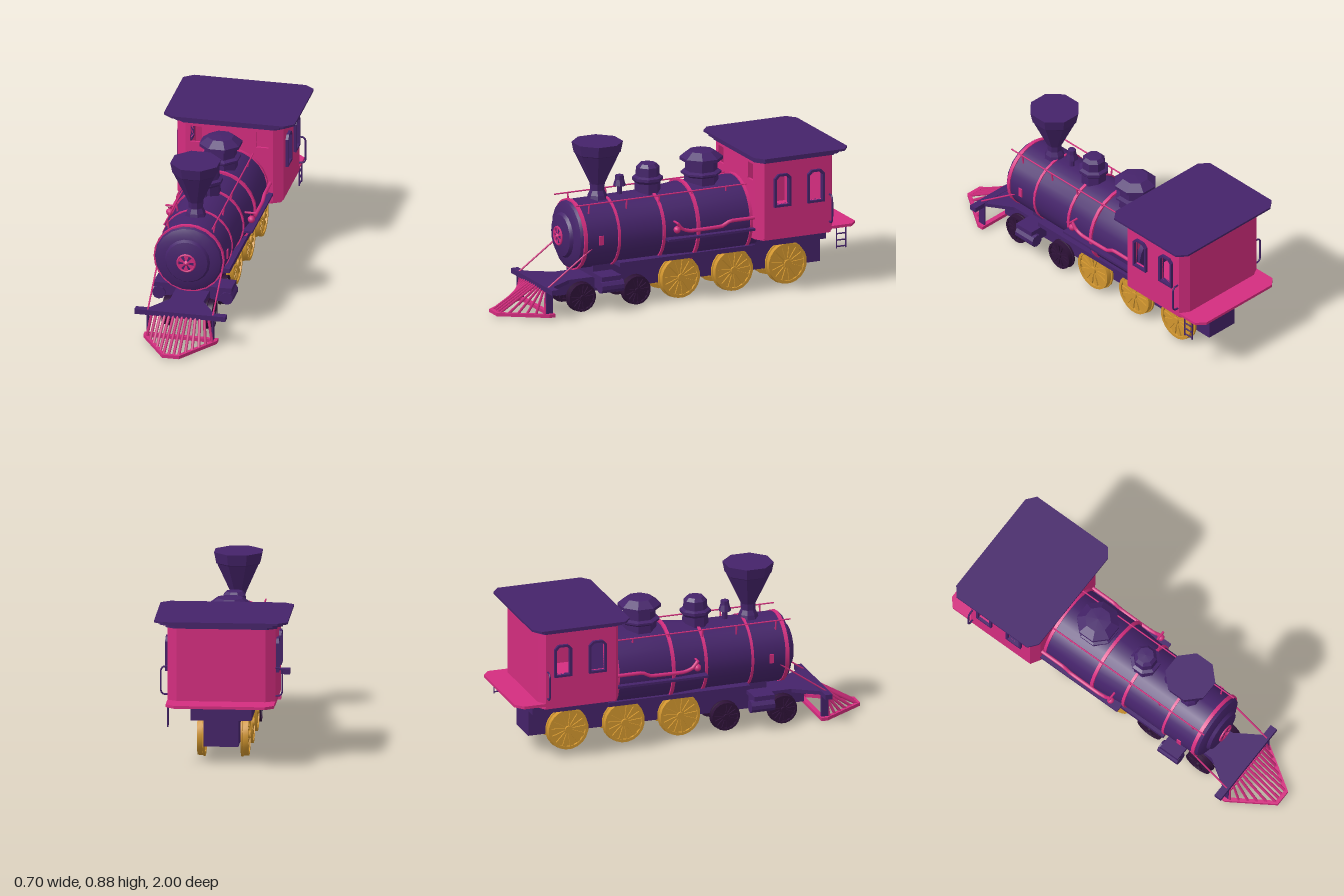
import * as THREE from 'three';
import { toCreasedNormals } from 'three/addons/utils/BufferGeometryUtils.js';

const mat = (name, color) => Object.assign(new THREE.MeshStandardMaterial({ color }), { name });
const purple = mat('purple', 0x45236a);
const pink = mat('magenta', 0xd42d7f);
const gold = mat('gold', 0xd2962f);
const dark = mat('dark plum', 0x2e1238);
const V = (x, y, z) => new THREE.Vector3(x, y, z);
const BOILER_Y = 0.4;

export function createModel() {
  const root = new THREE.Group();
  root.name = 'steamLocomotive';

  const add = (name, geo, material, x = 0, y = 0, z = 0, parent = root) => {
    const m = new THREE.Mesh(geo, material);
    m.name = name;
    m.position.set(x, y, z);
    parent.add(m);
    return m;
  };
  // box from its extents
  const box = (name, material, x0, x1, y0, y1, z0, z1) =>
    add(name, new THREE.BoxGeometry(x1 - x0, y1 - y0, z1 - z0), material,
      (x0 + x1) / 2, (y0 + y1) / 2, (z0 + z1) / 2);
  const tube = (name, material, points, r, sides = 6) => {
    const path = new THREE.CurvePath();
    for (let i = 1; i < points.length; i++) path.add(new THREE.LineCurve3(points[i - 1], points[i]));
    const curve = points.length > 2 ? new THREE.CatmullRomCurve3(points, false, 'catmullrom', 0.15) : path;
    return add(name, new THREE.TubeGeometry(curve, points.length > 2 ? 24 : 1, r, sides), material);
  };
  const lathe = (pts, sides) => new THREE.LatheGeometry(pts.map(p => new THREE.Vector2(...p)), sides, Math.PI / sides);
  const smooth = (geo, angle = 0.6) => toCreasedNormals(geo, angle);
  const faceted = geo => toCreasedNormals(geo, 0.1);
  const extrude = (shape, depth) => new THREE.ExtrudeGeometry(shape, { depth, bevelEnabled: false });
  const poly = pts => new THREE.Shape(pts.map(p => new THREE.Vector2(...p)));
  // horizontal plate from an outline of [x, z]
  const plate = (name, material, pts, y, h) =>
    add(name, extrude(poly(pts.map(([x, z]) => [x, -z])), h).rotateX(-Math.PI / 2), material, 0, y, 0);
  const chamfered = (hx, z0, z1, cx, cz) => [
    [-hx + cx, z1], [hx - cx, z1], [hx, z1 - cz], [hx, z0 + cz],
    [hx - cx, z0], [-hx + cx, z0], [-hx, z0 + cz], [-hx, z1 - cz]];

  // Boiler: wide firebox end, taper, smokebox and domed door
  add('boiler', smooth(lathe([[0, -0.46], [0.208, -0.46], [0.208, -0.1], [0.188, 0.09], [0.185, 0.55]], 24)
    .rotateX(Math.PI / 2)), purple, 0, BOILER_Y, 0);
  add('smokeboxDoor', smooth(lathe([[0.185, 0.55], [0.176, 0.57], [0.15, 0.582], [0.122, 0.588], [0.112, 0.605],
    [0.06, 0.617], [0, 0.618]], 18).rotateX(Math.PI / 2), 0.5), purple, 0, BOILER_Y, 0);
  for (const [z, r, w] of [[0.545, 0.19, 0.02], [0.35, 0.192, 0.014], [0.09, 0.196, 0.016], [-0.1, 0.219, 0.018], [-0.41, 0.214, 0.016]])
    add('boilerBand', smooth(new THREE.CylinderGeometry(r, r, w, 24).rotateX(Math.PI / 2)), pink, 0, BOILER_Y, z);

  // Door badge: ring with six wedges around a small cone
  add('badgeRing', new THREE.TorusGeometry(0.047, 0.006, 6, 18), pink, 0, BOILER_Y, 0.62);
  for (let i = 0; i < 6; i++)
    add('badgeWedge', new THREE.CircleGeometry(0.047, 4, i * Math.PI / 3 + 0.2, 0.62), pink, 0, BOILER_Y, 0.624);
  add('badgeCone', new THREE.ConeGeometry(0.015, 0.012, 8).rotateX(Math.PI / 2), pink, 0, BOILER_Y, 0.63);

  // Chimney, bell and domes
  add('chimney', faceted(lathe([[0.06, 0.56], [0.05, 0.6], [0.038, 0.625], [0.04, 0.66], [0.118, 0.825], [0.124, 0.83],
    [0.136, 0.888], [0, 0.888]], 8)), purple, 0, 0, 0.39);
  add('bell', faceted(lathe([[0.014, 0.56], [0.014, 0.625], [0.034, 0.632], [0.024, 0.665], [0.022, 0.688], [0, 0.692]], 8)),
    purple, 0, 0, 0.26);
  add('sandDome', faceted(lathe([[0.07, 0.55], [0.068, 0.63], [0.082, 0.645], [0.082, 0.66], [0.064, 0.668], [0.062, 0.715],
    [0.045, 0.733], [0, 0.736]], 8)), purple, 0, 0, 0.095);
  add('steamDome', faceted(lathe([[0.092, 0.56], [0.09, 0.63], [0.108, 0.642], [0.108, 0.652], [0.086, 0.66], [0.086, 0.708],
    [0.115, 0.716], [0.115, 0.732], [0.07, 0.765], [0, 0.77]], 8)), purple, 0, 0, -0.218);

  // Chassis
  box('mainFrame', purple, -0.09, 0.09, 0.1, 0.165, -0.87, 0.67);
  box('innerSill', purple, -0.092, 0.092, 0.16, 0.24, -0.45, 0.34);
  box('sillPlate', purple, -0.172, 0.172, 0.236, 0.26, -0.45, 0.34);
  box('firebox', purple, -0.15, 0.15, 0.25, 0.33, -0.45, -0.05);
  box('cabUnderframe', purple, -0.16, 0.16, 0.24, 0.33, -0.87, -0.43);
  box('rearFrame', purple, -0.092, 0.092, 0.1, 0.25, -0.87, -0.43);
  box('smokeboxSaddle', purple, -0.09, 0.09, 0.15, 0.25, 0.33, 0.46);
  plate('frontDeck', purple, [[-0.09, 0.44], [-0.09, 0.6], [-0.18, 0.74], [0.18, 0.74], [0.09, 0.6], [0.09, 0.44]], 0.158, 0.02);
  box('bufferBeam', purple, -0.245, 0.245, 0.153, 0.18, 0.735, 0.775);

  // Wheels with raised wedge spokes
  const wheel = (name, material, s, y, z, r) => {
    const g = new THREE.Group();
    g.name = name;
    g.position.set(s * 0.115, y, z);
    g.rotation.y = s * Math.PI / 2;
    root.add(g);
    add('rim', smooth(lathe([[r * 0.82, -0.02], [r, -0.02], [r, -0.01], [r * 0.95, -0.008], [r * 0.95, 0.02], [r * 0.82, 0.02],
      [r * 0.82, -0.02]], 20).rotateX(Math.PI / 2)), material, 0, 0, 0, g);
    add('web', new THREE.CylinderGeometry(r * 0.85, r * 0.85, 0.014, 20).rotateX(Math.PI / 2), material, 0, 0, 0, g);
    add('hub', new THREE.CylinderGeometry(r * 0.17, r * 0.2, 0.05, 10).rotateX(Math.PI / 2), material, 0, 0, 0, g);
    for (let i = 0; i < 14; i++) {
      const spoke = poly([[r * 0.1, -r * 0.03], [r * 0.84, -r * 0.1], [r * 0.84, r * 0.1], [r * 0.1, r * 0.03]]);
      const m = add('spoke', extrude(spoke, 0.03), material, 0, 0, -0.015, g);
      m.rotation.z = i * Math.PI / 7;
    }
  };
  const axle = (y, z) =>
    add('axle', new THREE.CylinderGeometry(0.015, 0.015, 0.23, 8).rotateZ(Math.PI / 2), dark, 0, y, z);
  for (const z of [-0.035, -0.345, -0.66]) {
    axle(0.124, z);
    for (const s of [-1, 1]) wheel('drivingWheel', gold, s, 0.124, z, 0.117);
  }
  for (const z of [0.54, 0.22]) {
    axle(0.085, z);
    for (const s of [-1, 1]) wheel('leadingWheel', dark, s, 0.085, z, 0.081);
  }

  // Cowcatcher: base frame and slats fanning from the beam
  const base = poly([[-0.198, -0.73], [0.198, -0.73], [0.198, -0.765], [0.045, -1], [-0.045, -1], [-0.198, -0.765]]);
  base.holes.push(new THREE.Path([[-0.17, -0.755], [-0.17, -0.77], [-0.035, -0.98], [0.035, -0.98], [0.17, -0.77], [0.17, -0.755]]
    .map(p => new THREE.Vector2(...p))));
  add('cowcatcherBase', extrude(base, 0.018).rotateX(-Math.PI / 2), pink, 0, 0.018, 0);
  for (let i = 0; i < 14; i++) {
    const x = -0.176 + i * 0.352 / 13;
    const z = Math.min(0.985, 0.985 - (Math.abs(x) - 0.04) * 1.5);
    tube('cowcatcherSlat', pink, [V(x * 0.87, 0.16, 0.765), V(x, 0.03, z)], 0.008, 4);
  }

  for (const s of [-1, 1]) {
    const p = (x, y, z) => V(s * x, y, z);
    const sideBox = (name, m, x0, x1, ...rest) => box(name, m, Math.min(s * x0, s * x1), Math.max(s * x0, s * x1), ...rest);

    // Front end: posts, braces and steam cylinders
    sideBox('beamPost', purple, 0.171, 0.179, 0.03, 0.16, 0.735, 0.775);
    tube('frontBrace', pink, [p(0.175, 0.37, 0.49), p(0.175, 0.175, 0.765)], 0.0045);
    add('steamCylinder', smooth(new THREE.CylinderGeometry(0.035, 0.035, 0.13, 10).rotateX(Math.PI / 2)), purple, s * 0.183, 0.145, 0.4);
    sideBox('valveChest', purple, 0.09, 0.21, 0.18, 0.205, 0.35, 0.465);
    sideBox('cylinderBracket', purple, 0.08, 0.17, 0.12, 0.19, 0.36, 0.45);
    sideBox('smokeboxPlate', pink, 0.17, 0.19, 0.375, 0.425, 0.443, 0.468);

    // Running board, feed pipe and valve
    sideBox('runningBoard', purple, 0.17, 0.237, 0.358, 0.37, -0.43, 0.085);
    tube('feedPipe', pink, [p(0.222, 0.425, -0.43), p(0.222, 0.425, -0.28), p(0.222, 0.402, -0.23), p(0.222, 0.4, -0.05),
      p(0.222, 0.415, 0.0), p(0.222, 0.45, 0.03)], 0.01);
    add('feedValve', new THREE.SphereGeometry(0.02, 8, 6), pink, s * 0.22, 0.415, 0.03);
    tube('valveStem', pink, [p(0.18, 0.452, 0.03), p(0.243, 0.452, 0.03)], 0.006);

    // Boiler handrail
    tube('boilerRail', pink, [p(0.13, 0.588, 0.58), p(0.13, 0.588, -0.43)], 0.004);
    for (const z of [0.5, 0.28, 0.09, -0.1, -0.3])
      tube('railPost', pink, [p(0.12, 0.53, z), p(0.13, 0.59, z)], 0.005);

    // Cab grab rail
    tube('cabGrabRail', purple, [p(0.28, 0.37, -0.83), p(0.308, 0.372, -0.83), p(0.32, 0.39, -0.83), p(0.32, 0.5, -0.83),
      p(0.308, 0.518, -0.83), p(0.28, 0.52, -0.83)], 0.005);
  }

  // Cab walls with window openings and chamfered corners
  const windowPts = (cx, y0, y1, hw) => {
    const c = hw * 0.45;
    return [[cx - hw, y0], [cx + hw, y0], [cx + hw, y1 - c], [cx + hw - c, y1], [cx - hw + c, y1], [cx - hw, y1 - c]]
      .map(q => new THREE.Vector2(...q));
  };
  const wall = (a, b, windows = []) => {
    const sh = poly([[a, 0.32], [b, 0.32], [b, 0.75], [a, 0.75]]);
    windows.forEach(w => sh.holes.push(new THREE.Path(w)));
    return extrude(sh, 0.012);
  };
  const T = 0.012;
  const sideWindows = [0.553, 0.747];
  for (const s of [-1, 1]) {
    add('cabSideWall', wall(0.45, 0.84, sideWindows.map(c => windowPts(c, 0.5, 0.655, 0.037))).rotateY(Math.PI / 2),
      pink, s > 0 ? 0.285 - T : -0.285, 0, 0);
    for (const c of sideWindows) {
      const frame = new THREE.Shape(windowPts(c, 0.488, 0.667, 0.049));
      frame.holes.push(new THREE.Path(windowPts(c, 0.5, 0.655, 0.037)));
      add('windowFrame', extrude(frame, 0.03).rotateY(Math.PI / 2), purple, s > 0 ? 0.27 : -0.3, 0, 0);
    }
    for (const [z0, z1] of [[-0.42, -0.45], [-0.87, -0.84]])
      plate('cabCorner', pink, [[s * 0.235, z0], [s * 0.285, z1], [s * 0.273, z1], [s * 0.235, z0 + Math.sign(z1 - z0) * T]], 0.32, 0.43);
  }
  const frontWindows = [-0.178, 0.178].map(c => [[c - 0.033, 0.625], [c + 0.033, 0.625], [c + 0.03, 0.715], [c - 0.03, 0.715]]
    .map(q => new THREE.Vector2(...q)));
  add('cabFrontWall', wall(-0.235, 0.235, frontWindows), pink, 0, 0, -0.42 - T);
  add('cabRearWall', wall(-0.235, 0.235), pink, 0, 0, -0.87);
  plate('cabSkirt', pink, chamfered(0.275, -0.87, -0.42, 0.05, 0.03), 0.308, 0.02);
  plate('cabFloor', pink, chamfered(0.285, -1, -0.425, 0.045, 0.04), 0.328, 0.015);

  // Roof: coved eaves below a wide chamfered sheet
  plate('roofEavesLower', purple, chamfered(0.295, -0.885, -0.41, 0.05, 0.035), 0.735, 0.016);
  plate('roofEavesUpper', purple, chamfered(0.325, -0.9, -0.395, 0.05, 0.04), 0.75, 0.018);
  plate('roof', purple, chamfered(0.352, -0.925, -0.38, 0.05, 0.04), 0.766, 0.011);

  // Steps hanging from the rear platform on one side
  for (const z of [-0.875, -0.93])
    tube('stepRail', purple, [V(0.277, 0.215, z), V(0.277, 0.335, z)], 0.004);
  for (const y of [0.225, 0.26, 0.295])
    tube('stepRung', purple, [V(0.277, y, -0.875), V(0.277, y, -0.93)], 0.004);

  return root;
}
